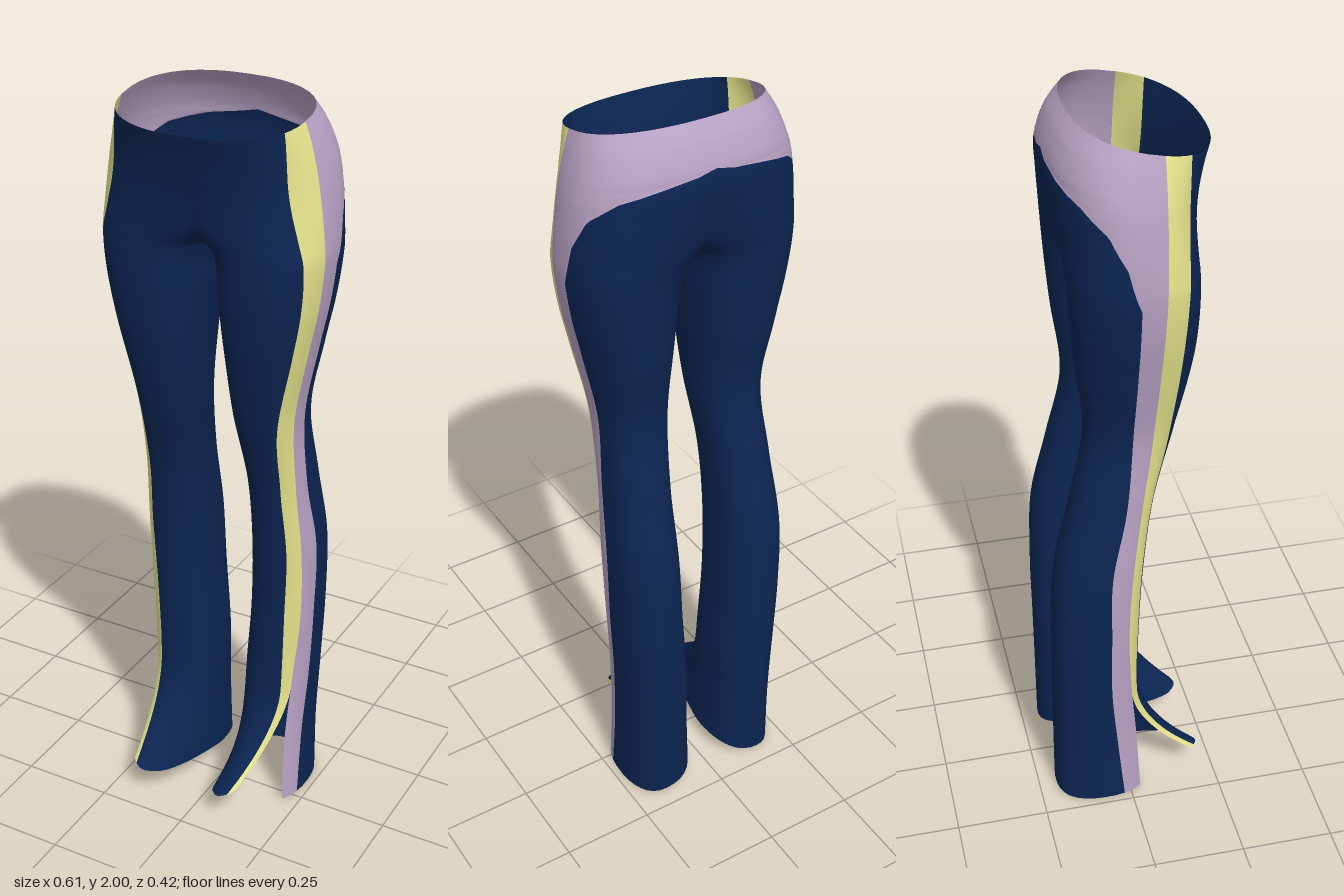
import * as THREE from 'three';
import { mergeVertices } from 'three/addons/utils/BufferGeometryUtils.js';

// Leg outline by height: y, outer x, inner x, front z, back z
// (a negative inner x means the two legs are joined at the centre)
const OUTLINE = [
  [0, 0.23, 0.04, 0.06, -0.203],
  [0.2, 0.228, 0.048, 0.045, -0.204],
  [0.4, 0.236, 0.05, 0.03, -0.205],
  [0.6, 0.244, 0.064, 0.03, -0.205],
  [0.8, 0.246, 0.07, 0.04, -0.195],
  [1.0, 0.233, 0.07, 0.065, -0.15],
  [1.2, 0.228, 0.052, 0.115, -0.11],
  [1.4, 0.265, 0.034, 0.155, -0.13],
  [1.52, 0.29, 0.02, 0.165, -0.14],
  [1.635, 0.304, 0, 0.165, -0.148],
  [1.7, 0.303, -0.09, 0.165, -0.157],
  [1.78, 0.296, -0.19, 0.168, -0.168],
  [1.85, 0.284, -0.27, 0.18, -0.175],
  [1.92, 0.262, -0.262, 0.195, -0.152],
  [1.97, 0.242, -0.242, 0.21, -0.12],
];
// Seams by height: y, z of stripe front, stripe back, band back
const SEAMS = [
  [0, 0.043, 0.03, -0.02],
  [0.2, 0.032, 0.018, -0.04],
  [0.4, 0.02, 0, -0.058],
  [0.6, 0.022, -0.01, -0.06],
  [0.8, 0.03, 0, -0.058],
  [1.0, 0.055, 0.023, -0.02],
  [1.2, 0.092, 0.046, -0.005],
  [1.6, 0.115, 0.057, -0.003],
  [1.97, 0.125, 0.06, -0.01],
];
// How far the yoke reaches round to the centre back: y, fraction
const YOKE = [[0, 0], [1.62, 0], [1.72, 0.08], [1.79, 0.22], [1.83, 0.45], [1.852, 0.78], [1.862, 1], [1.97, 1]];

const CROTCH = 1.635, WAIST = 1.97, SLIT = 0.36, POWER = 0.85;
const { clamp, smoothstep, lerp } = THREE.MathUtils;

// Smooth interpolation of one table column at height y
function sample(table, col, y) {
  let i = 0;
  while (i < table.length - 2 && y > table[i + 1][0]) i++;
  const slope = (k) => {
    const a = table[Math.max(k - 1, 0)], b = table[Math.min(k + 1, table.length - 1)];
    return (b[col] - a[col]) / (b[0] - a[0]);
  };
  const p = table[i], q = table[i + 1], h = q[0] - p[0], t = (y - p[0]) / h;
  const t2 = t * t, t3 = t2 * t;
  return (2 * t3 - 3 * t2 + 1) * p[col] + (t3 - 2 * t2 + t) * h * slope(i)
    + (3 * t2 - 2 * t3) * q[col] + (t3 - t2) * h * slope(i + 1);
}
const bend = (v) => Math.sign(v) * Math.abs(v) ** POWER;
const unbend = (v) => Math.sign(v) * Math.abs(v) ** (1 / POWER);

// Cross-section at height y: centre, radii and the angles of the seams
// (0 = inseam, 90 deg = front, 180 deg = outside, 270 deg = back)
function section(y) {
  const [outer, inner, front, back] = [1, 2, 3, 4].map((c) => sample(OUTLINE, c, y));
  const s = { y, cx: (outer + inner) / 2, a: (outer - inner) / 2, cz: (front + back) / 2, b: (front - back) / 2 };
  const start = y <= CROTCH ? 0 : Math.acos(clamp(unbend(clamp(s.cx / s.a, 0, 1)), 0, 1));
  const end = 2 * Math.PI - start;
  const seam = (c) => Math.PI - Math.asin(unbend(clamp((sample(SEAMS, c, y) - s.cz) / s.b, -0.98, 0.98)));
  let i = 0;
  while (i < YOKE.length - 2 && y > YOKE[i + 1][0]) i++;
  const [y0, f0] = YOKE[i], [y1, f1] = YOKE[i + 1];
  const reach = lerp(f0, f1, (y - y0) / (y1 - y0));
  s.angles = [start, seam(1), seam(2), lerp(seam(3), end, reach), end];
  return s;
}

// Point on the cloth; the front sheet curls forward below the side slit
function clothPoint(s, angle, isFront, side, curl) {
  let x = s.cx - s.a * bend(Math.cos(angle));
  let z = s.cz + s.b * bend(Math.sin(angle));
  let y = s.y;
  if (y > CROTCH - 1e-6) x = Math.max(0, x);
  if (x < 1e-6) x = 0;
  if (y < SLIT) {
    const span = s.angles[2];
    const k = (SLIT - y) / SLIT;
    const f = isFront ? angle / span : (2 * Math.PI - angle) / (2 * Math.PI - span);
    const hem = isFront ? lerp(0.05, 0.1, f) : lerp(0.05, 0, smoothstep(f, 0, 0.6));
    y = SLIT - k * (SLIT - hem);
    if (isFront) {
      const w = smoothstep(f, 0.1, 0.85) * k * k;
      z += 0.15 * w;
      x -= curl * w;
    }
  }
  // Waistline dips at the front and rises at the back
  y -= 0.2 * (z - 0.035) * smoothstep(s.y, 1.6, WAIST);
  return [x * side, y, z];
}

export function createModel() {
  const group = new THREE.Group();
  group.name = 'flaredTrousers';
  const material = (name, color) => {
    const m = new THREE.MeshStandardMaterial({ color, side: THREE.DoubleSide });
    m.name = name;
    return m;
  };
  const navy = material('navy', 0x0c2552);
  const yellow = material('paleYellow', 0xe6e48c);
  const lilac = material('lilac', 0xb8a2c4);

  const panels = [
    { name: 'frontPanel', mat: navy, cols: 16, index: [] },
    { name: 'sideStripe', mat: yellow, cols: 4, index: [] },
    { name: 'sideBandAndYoke', mat: lilac, cols: 10, index: [] },
    { name: 'backPanel', mat: navy, cols: 18, index: [] },
  ];

  // One row falls exactly on the crotch so both legs meet there
  const rows = [];
  for (let i = 0; i < 90; i++) rows.push(section((CROTCH * i) / 90));
  for (let i = 0; i <= 36; i++) rows.push(section(lerp(CROTCH, WAIST, i / 36)));

  // Left and right halves, each with its own curl at the hem
  const positions = [];
  for (const [side, curl] of [[1, 0.075], [-1, 0.015]]) {
    panels.forEach((panel, p) => {
      const base = positions.length / 3, n = panel.cols + 1;
      rows.forEach((s, r) => {
        for (let c = 0; c < n; c++) {
          const angle = lerp(s.angles[p], s.angles[p + 1], c / panel.cols);
          positions.push(...clothPoint(s, angle, p < 2, side, curl));
          if (r === 0 || c === 0) continue;
          const d = base + r * n + c, e = d - 1, b = d - n, a = b - 1;
          if (side > 0) panel.index.push(a, b, d, a, d, e);
          else panel.index.push(a, d, b, a, e, d);
        }
      });
    });
  }

  // Weld everything for smooth normals, then split by panel
  let cloth = new THREE.BufferGeometry();
  cloth.setAttribute('position', new THREE.Float32BufferAttribute(positions, 3));
  cloth.setIndex(panels.flatMap((p) => p.index));
  cloth = mergeVertices(cloth, 1e-5);
  cloth.computeVertexNormals();

  const welded = Array.from(cloth.index.array);
  let offset = 0;
  for (const panel of panels) {
    const count = panel.index.length, index = [];
    for (let i = offset; i < offset + count; i += 3) {
      const [a, b, c] = welded.slice(i, i + 3);
      if (a !== b && b !== c && c !== a) index.push(a, b, c);
    }
    offset += count;
    const geometry = new THREE.BufferGeometry();
    geometry.setAttribute('position', cloth.attributes.position);
    geometry.setAttribute('normal', cloth.attributes.normal);
    geometry.setIndex(index);
    const mesh = new THREE.Mesh(geometry, panel.mat);
    mesh.name = panel.name;
    group.add(mesh);
  }
  return group;
}
